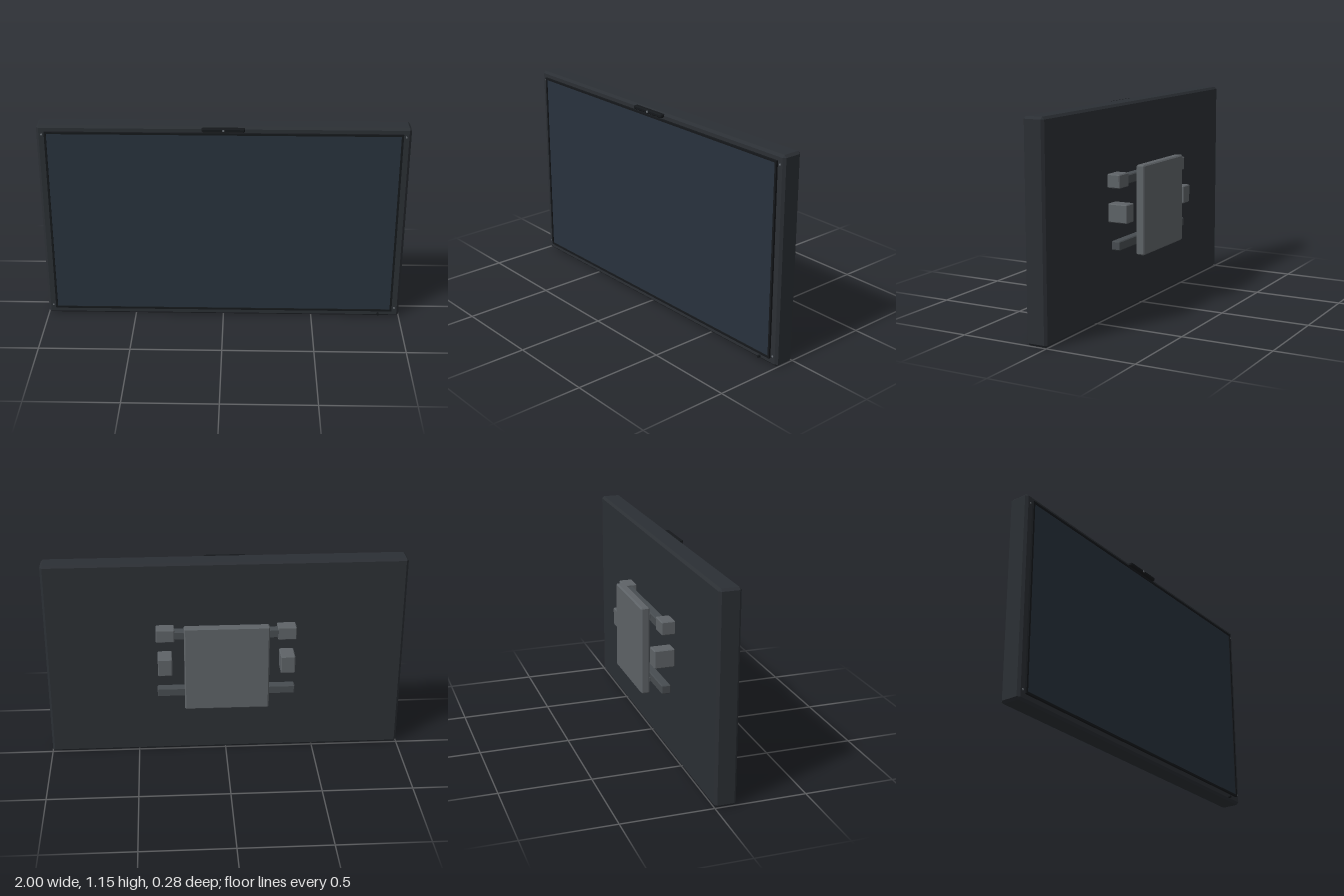
import * as THREE from 'three';
import { ConvexGeometry } from 'three/addons/geometries/ConvexGeometry.js';

const material = (color) => new THREE.MeshStandardMaterial({ color });

// Box with every edge cut by a flat chamfer c
function chamferBox(w, h, d, c) {
  const points = [];
  for (const x of [-1, 1]) for (const y of [-1, 1]) for (const z of [-1, 1]) {
    for (const [a, b, e] of [[0, c, c], [c, 0, c], [c, c, 0]]) {
      points.push(new THREE.Vector3(x * (w / 2 - a), y * (h / 2 - b), z * (d / 2 - e)));
    }
  }
  return new ConvexGeometry(points);
}

export function createModel() {
  const model = new THREE.Group();
  model.name = 'wallDisplay';
  const body = material(0x2b2f34);
  const trim = material(0x15181b);
  const glass = material(0x28323d);
  const metal = material(0x5e6367);
  const darkMetal = material(0x474c50);
  const lensGrey = material(0x6c7278);

  function add(name, geometry, mat, x = 0, y = 0, z = 0) {
    const mesh = new THREE.Mesh(geometry, mat);
    mesh.name = name;
    mesh.position.set(x, y, z);
    model.add(mesh);
    return mesh;
  }
  // Chamfered block given by its limits on each axis
  function block(name, mat, [x0, x1], [y0, y1], [z0, z1], c = 0.005) {
    return add(name, chamferBox(x1 - x0, y1 - y0, z1 - z0, c), mat,
      (x0 + x1) / 2, (y0 + y1) / 2, (z0 + z1) / 2);
  }
  // Short round peg facing front
  function peg(name, mat, r, length, x, y, z) {
    add(name, new THREE.CylinderGeometry(r, r, length, 16), mat, x, y, z).rotation.x = Math.PI / 2;
  }

  // Housing and screen
  block('housing', body, [-1, 1], [0, 1.15], [0, 0.118], 0.013);
  block('screen', glass, [-0.95, 0.95], [0.045, 1.11], [0.1, 0.124], 0.002);

  // Raised trim around the screen
  const outline = new THREE.Shape();
  outline.moveTo(-0.957, 0.038).lineTo(0.957, 0.038).lineTo(0.957, 1.117).lineTo(-0.957, 1.117).closePath();
  const opening = new THREE.Path();
  opening.moveTo(-0.946, 0.049).lineTo(-0.946, 1.106).lineTo(0.946, 1.106).lineTo(0.946, 0.049).closePath();
  outline.holes.push(opening);
  add('screenTrim', new THREE.ExtrudeGeometry(outline, { depth: 0.018, bevelEnabled: false }), trim, 0, 0, 0.111);

  // Camera bar and its lens
  block('cameraBar', trim, [-0.115, 0.115], [1.125, 1.146], [0.11, 0.138], 0.005);
  peg('cameraLens', lensGrey, 0.006, 0.006, 0, 1.136, 0.137);

  // Front corner screws and the power light
  for (const x of [-0.972, 0.972]) for (const y of [0.055, 1.1]) {
    peg('bezelScrew', lensGrey, 0.005, 0.006, x, y, 0.118);
  }
  peg('powerLight', trim, 0.007, 0.018, 0.88, 0.019, 0.123);

  // Mount rails and brackets on the back
  block('upperRail', darkMetal, [-0.3, 0.3], [0.728, 0.778], [-0.073, -0.022]);
  block('lowerRail', darkMetal, [-0.385, 0.385], [0.38, 0.43], [-0.073, -0.022]);
  for (const s of [-1, 1]) {
    const span = (a, b) => (s > 0 ? [a, b] : [-b, -a]);
    block('upperBracket', metal, span(0.285, 0.388), [0.715, 0.79], [-0.075, 0.002]);
    block('sideBracket', metal, span(0.3, 0.38), [0.528, 0.63], [-0.113, 0.002]);
    for (const y of [0.395, 0.763]) {
      block('plateSpacer', metal, span(0.178, 0.202), [y - 0.013, y + 0.013], [-0.094, -0.076], 0.002);
    }
  }

  // Mount plate with its central spine
  block('spine', darkMetal, [-0.036, 0.036], [0.415, 0.745], [-0.094, -0.076], 0.003);
  block('spineRib', darkMetal, [-0.02, 0.02], [0.44, 0.72], [-0.08, -0.068], 0.003);
  block('mountPlate', metal, [-0.234, 0.234], [0.33, 0.825], [-0.139, -0.09], 0.007);

  return model;
}
